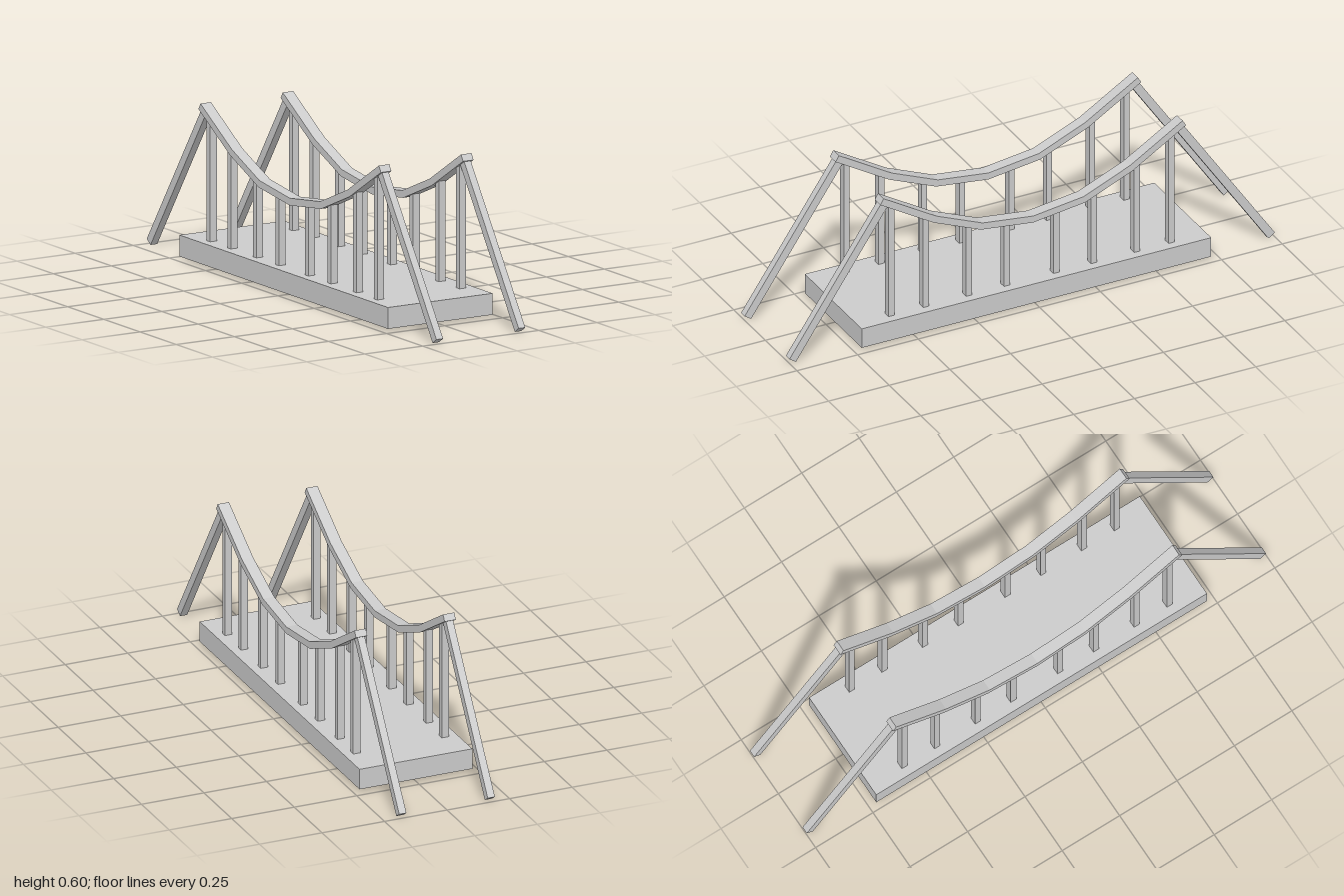
import * as THREE from 'three';

const material = new THREE.MeshStandardMaterial({ color: 0xcccccc, flatShading: true });
const SIDE_X = 0.177;

// Bar of even thickness following a (z, y) polyline with mitred bends, extruded across x
function bar(name, path, thickness, width) {
  const pts = path.map(([z, y]) => new THREE.Vector2(z, y));
  const upper = [], lower = [];
  pts.forEach((p, i) => {
    const a = p.clone().sub(pts[Math.max(i - 1, 0)]).normalize();
    const b = pts[Math.min(i + 1, pts.length - 1)].clone().sub(p).normalize();
    const dir = a.clone().add(b).normalize();
    const along = a.lengthSq() > 0 ? a : b;
    const half = thickness / 2 / dir.dot(along);
    const normal = new THREE.Vector2(-dir.y, dir.x).multiplyScalar(half);
    upper.push(p.clone().add(normal));
    lower.unshift(p.clone().sub(normal));
  });
  const geometry = new THREE.ExtrudeGeometry(new THREE.Shape([...upper, ...lower]), { depth: width, bevelEnabled: false });
  geometry.translate(0, 0, -width / 2).rotateY(-Math.PI / 2);
  const mesh = new THREE.Mesh(geometry, material);
  mesh.name = name;
  return mesh;
}

function box(name, w, h, d, x, y, z) {
  const mesh = new THREE.Mesh(new THREE.BoxGeometry(w, h, d), material);
  mesh.position.set(x, y, z);
  mesh.name = name;
  return mesh;
}

// Centre line of the sagging cable: half of it, then mirrored
const halfCable = [[0, 0.347], [0.212, 0.374], [0.405, 0.455], [0.623, 0.587]];
const cablePath = [...halfCable.slice(1).reverse().map(([z, y]) => [-z, y]), ...halfCable];

function cableHeight(z) {
  const i = cablePath.findIndex((p) => p[0] >= z);
  const [z0, y0] = cablePath[i - 1], [z1, y1] = cablePath[i];
  return y0 + (y1 - y0) * (z - z0) / (z1 - z0);
}

export function createModel() {
  const model = new THREE.Group();
  model.name = 'suspensionBridge';

  // Deck
  model.add(box('deck', 0.451, 0.08, 1.44, 0, 0.05, 0));

  for (const s of [-1, 1]) {
    const side = new THREE.Group();
    side.name = s > 0 ? 'leftSide' : 'rightSide';
    side.position.x = s * SIDE_X;

    // Main cable
    side.add(bar('cable', cablePath, 0.027, 0.045));

    // Hangers from the cable down to the deck
    for (const z of [-0.574, -0.432, -0.255, -0.1, 0.104, 0.26, 0.437, 0.58]) {
      const top = cableHeight(z), bottom = 0.08;
      side.add(box('hanger', 0.0285, top - bottom, 0.024, 0, (top + bottom) / 2, z));
    }

    // Slanted end stays
    side.add(bar('frontStay', [[0.609, 0.566], [0.987, 0.01]], 0.032, 0.0285));
    side.add(bar('backStay', [[-0.987, 0.01], [-0.609, 0.566]], 0.032, 0.0285));

    model.add(side);
  }
  return model;
}
